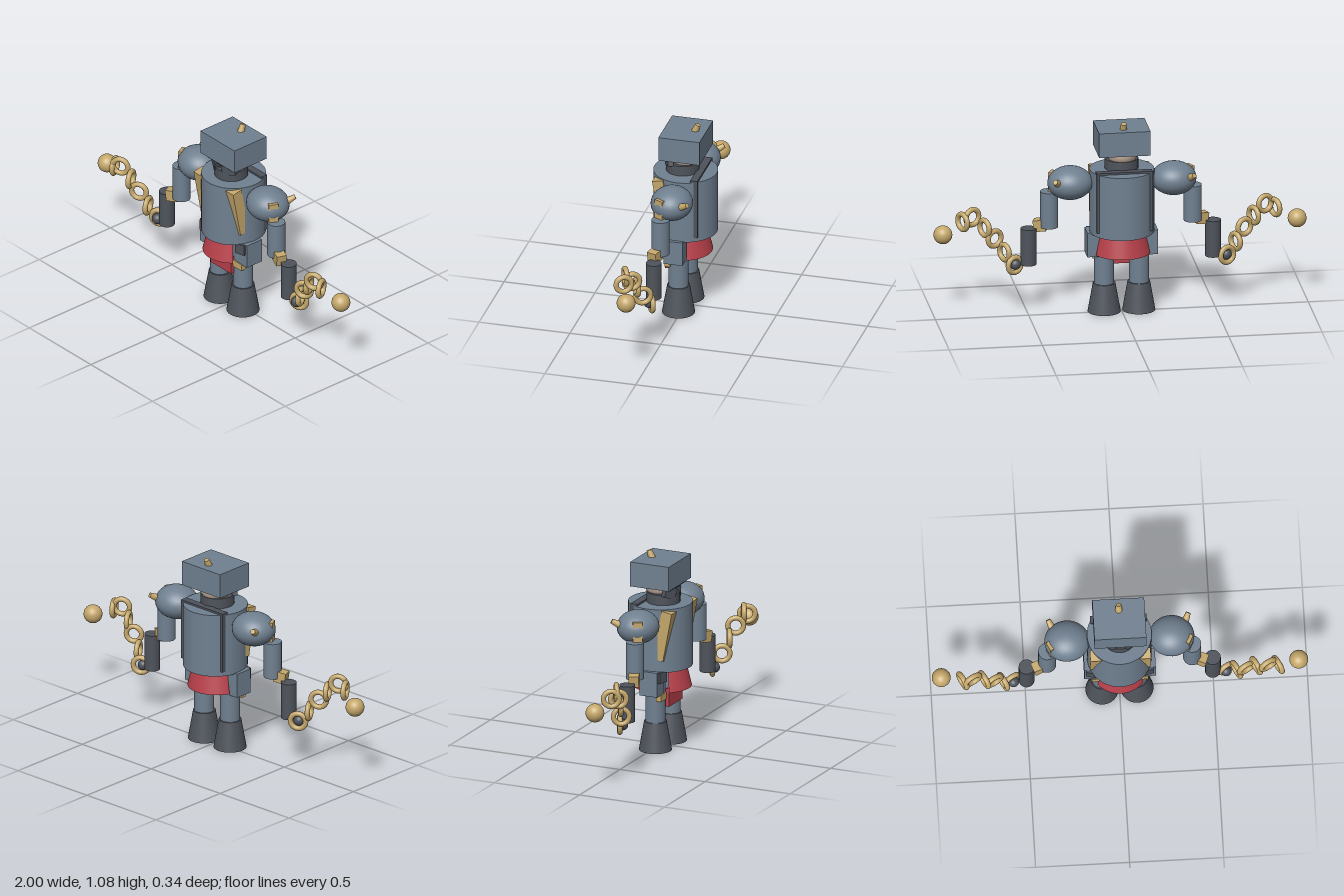
import * as THREE from 'three';

const mat = (name, color) => {
  const m = new THREE.MeshStandardMaterial({ color });
  m.name = name;
  return m;
};

export function createModel() {
  const slate = mat('slateArmour', 0x708090);
  const dark = mat('darkIron', 0x4e535b);
  const gold = mat('brass', 0xc4a76b);
  const red = mat('redCloth', 0xb8404a);
  const skin = mat('skin', 0xd9c0ae);
  red.side = THREE.DoubleSide;

  const model = new THREE.Group();
  model.name = 'armouredFighter';

  const add = (name, geo, material, pos, rot = [0, 0, 0], parent = model) => {
    const mesh = new THREE.Mesh(geo, material);
    mesh.name = name;
    mesh.position.set(...pos);
    mesh.rotation.set(...rot);
    parent.add(mesh);
    return mesh;
  };
  const box = (w, h, d) => new THREE.BoxGeometry(w, h, d);
  const cyl = (rTop, rBottom, h, n = 32) => new THREE.CylinderGeometry(rTop, rBottom, h, n);
  const ball = (r) => new THREE.SphereGeometry(r, 32, 20);

  // Points a mesh's long axis along a direction
  const aim = (mesh, x, y, z) =>
    mesh.quaternion.setFromUnitVectors(new THREE.Vector3(0, 1, 0), new THREE.Vector3(x, y, z).normalize());

  // Head, helmet and neck
  add('head', ball(0.09), skin, [0, 0.91, 0]);
  add('helmet', box(0.276, 0.135, 0.226), slate, [0, 0.969, 0]);
  aim(add('helmetSpike', cyl(0.014, 0.022, 0.06, 16), gold, [0, 1.043, -0.056]), 0, 0.92, -0.38);
  add('collar', cyl(0.09, 0.09, 0.06), dark, [0, 0.826, 0.016]);
  add('browPlate', box(0.19, 0.012, 0.04), dark, [0, 0.896, 0.082]);

  // Torso with a slab set into its back
  add('torso', cyl(0.172, 0.172, 0.35, 48), slate, [0, 0.625, 0]);
  add('backSlab', box(0.3, 0.335, 0.04), dark, [0, 0.643, -0.085]);

  // Skirt: a front and a back sector of a cone, plus the hanging flap
  const skirt = (start, length) =>
    new THREE.CylinderGeometry(0.128, 0.156, 0.118, 32, 1, true, start, length);
  add('frontSkirt', skirt(-0.9, 1.8), red, [0, 0.392, 0.011]);
  add('backSkirt', skirt(Math.PI - 1.2, 2.4), red, [0, 0.392, 0.011]);
  add('frontFlap', box(0.168, 0.1, 0.02), red, [0, 0.293, 0.08]);

  for (const s of [1, -1]) {
    const side = new THREE.Group();
    side.name = s > 0 ? 'leftSide' : 'rightSide';
    model.add(side);
    const put = (name, geo, material, [x, y, z], [rx, ry, rz] = [0, 0, 0]) =>
      add(name, geo, material, [s * x, y, z], [rx, s * ry, s * rz], side);

    // Jaw guard and chest strap
    put('jawGuard', box(0.07, 0.06, 0.03), dark, [0.053, 0.868, 0.077], [0, 0.5, 0.35]);
    put('chestStrap', box(0.066, 0.275, 0.06), gold, [0.128, 0.655, 0.086], [0.19, 0, 0]);

    // Shoulder with plate and spike
    const shoulder = put('shoulder', ball(1), slate, [0.278, 0.733, 0]);
    shoulder.scale.set(0.121, 0.09, 0.112);
    put('shoulderPlate', box(0.03, 0.11, 0.052), gold, [0.367, 0.732, 0.04], [0, -0.47, 0]);
    aim(put('shoulderSpike', cyl(0.013, 0.021, 0.055, 16), gold, [0.362, 0.763, -0.088]), s * 0.4, 0.45, -0.8);

    // Arm
    put('upperArm', cyl(0.048, 0.048, 0.2), slate, [0.385, 0.58, 0.033]);
    put('elbow', box(0.065, 0.062, 0.055), gold, [0.431, 0.488, 0.05], [0, -0.35, -0.15]);
    put('forearm', cyl(0.042, 0.042, 0.202), dark, [0.495, 0.374, 0.04]);
    put('hand', ball(0.03), dark, [0.565, 0.274, 0.046]);

    // Chain of alternating links ending in a ball
    const links = [
      [0.57, 0.275, 0.032], [0.62, 0.338, 0.065], [0.67, 0.41, 0.085],
      [0.722, 0.468, 0.097], [0.785, 0.525, 0.115], [0.838, 0.503, 0.11],
    ];
    const ring = new THREE.TorusGeometry(0.042, 0.014, 12, 28);
    links.forEach(([x, y, z], i) =>
      add('chainLink', ring, gold, [s * x, y, z], [0, 0.49 + (i % 2) * Math.PI / 2, 0], side));
    put('chainBall', ball(0.05), gold, [0.95, 0.451, 0.067]);

    // Hip armour
    put('hipPlate', box(0.08, 0.135, 0.105), slate, [0.15, 0.388, 0.018]);
    put('hipPouch', box(0.06, 0.06, 0.03), dark, [0.148, 0.425, 0.075], [0, 0.25, 0]);
    put('thighClasp', box(0.07, 0.038, 0.03), gold, [0.115, 0.304, 0.06]);

    // Leg
    put('leg', cyl(0.053, 0.053, 0.3), slate, [0.094, 0.3, 0.014]);
    put('boot', cyl(0.06, 0.088, 0.16), dark, [0.093, 0.08, 0.014]);
  }

  return model;
}
